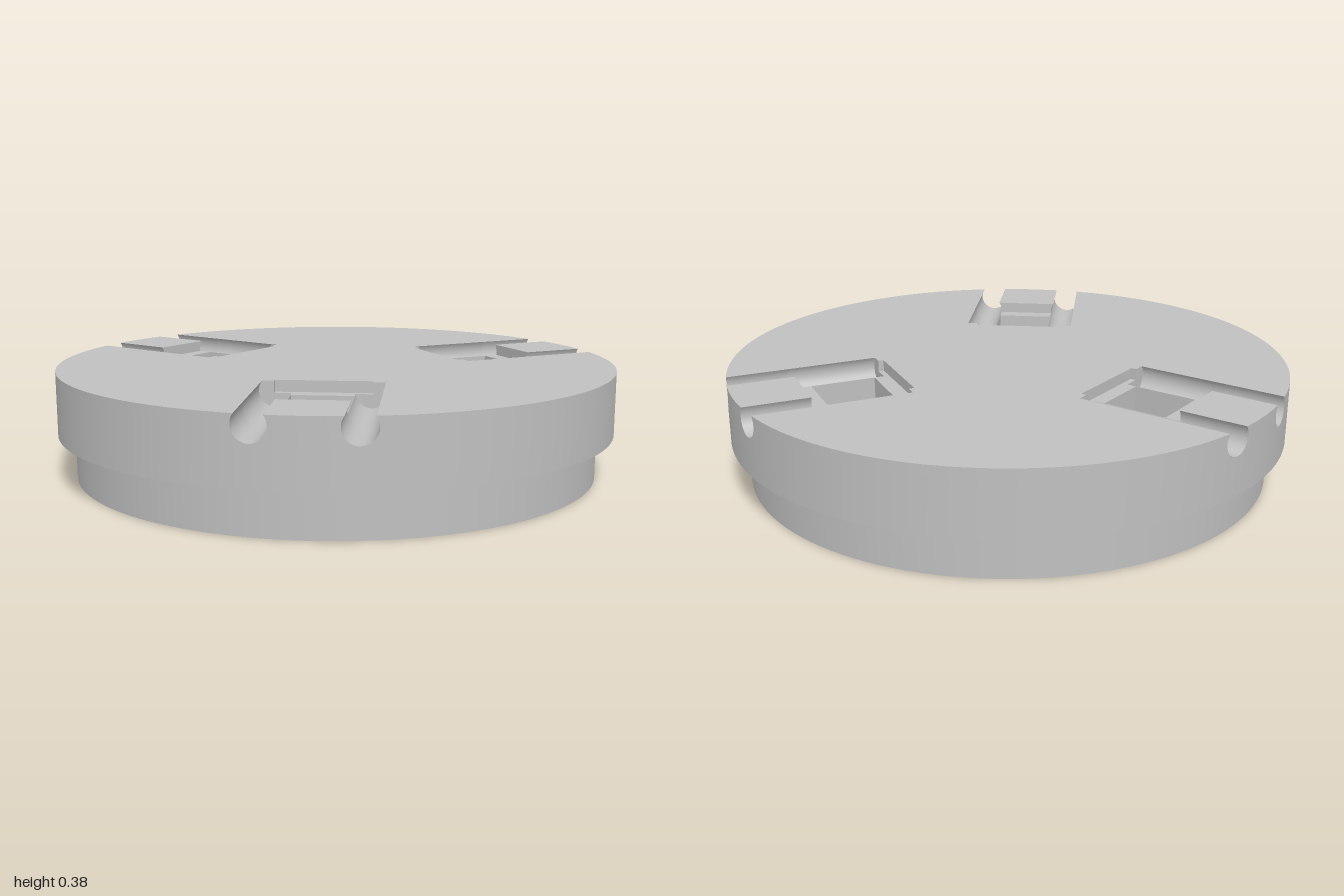
import * as THREE from 'three';

const TOP = 0.385, STEP = 0.16, LOWER_R = 0.94;         // disc heights and radii
const GX = 0.16, GY = 0.353, GR = 0.055;                // groove axis and radius
const SHELF = 0.345, POCKET = 0.25;                     // recess floors
const LIP = Math.asin((TOP - GY) / GR);                 // groove angle at the top face
const SHELF_A = Math.asin((GY - SHELF) / GR);           // groove angle at the shelf
const LIP_X = GX + GR * Math.cos(LIP);
const IN_X = GX - GR * Math.cos(SHELF_A);
const D = { end: 0.42, groove: 0.44, p0: 0.475, p1: 0.705, tongue: 0.76 }; // distances from centre
const FLANGE = 0.165, THIRD = Math.PI * 2 / 3;

// Surface between two polylines of equal length
function strip(a, b, flat = false) {
  const n = a.length, index = [];
  for (let i = 0; i < n - 1; i++) index.push(i, i + 1, n + i + 1, i, n + i + 1, n + i);
  let g = new THREE.BufferGeometry().setFromPoints([...a, ...b]);
  g.setIndex(index);
  if (flat) g = g.toNonIndexed();
  g.computeVertexNormals();
  return g;
}
const shape = pts => new THREE.Shape(pts.map(p => new THREE.Vector2(p[0], p[1])));
// Horizontal face from (x, distance) points; distance runs toward the back
const level = (s, y) => new THREE.ShapeGeometry(s, 48).rotateX(-Math.PI / 2).translate(0, y, 0);
const rail = (pts, y) => pts.map(([x, d]) => new THREE.Vector3(x, y, -d));
const arc = (from, to, n = 24) => Array.from({ length: n + 1 }, (_, i) => {
  const t = from + (to - from) * i / n;
  return [GX + GR * Math.cos(t), GY + GR * Math.sin(t)];
});
const rimAngles = (from, to, n) => Array.from({ length: n + 1 }, (_, i) => from + (to - from) * i / n);
const onRim = (t, y) => new THREE.Vector3(Math.sin(t), y, -Math.cos(t));

export function createModel() {
  const grey = new THREE.MeshStandardMaterial({ color: 0xc0c0c0, side: THREE.DoubleSide });
  grey.name = 'grey metal';
  const model = new THREE.Group();
  model.name = 'slottedDisc';
  const add = (parent, name, g) => {
    const m = new THREE.Mesh(g, grey);
    m.name = name;
    parent.add(m);
    return m;
  };

  // Top face outlined by the rim and three notches
  const lipT = Math.asin(LIP_X);
  const outline = [];
  for (let k = 0; k < 3; k++) {
    const c = Math.cos(k * THIRD), s = Math.sin(k * THIRD);
    const rimD = Math.cos(lipT);
    const notch = [[-LIP_X, rimD], [-LIP_X, D.groove], [-FLANGE, D.groove], [-FLANGE, D.end],
      [FLANGE, D.end], [FLANGE, D.groove], [LIP_X, D.groove]];
    for (const [x, d] of notch) outline.push([x * c + d * s, d * c - x * s]);
    for (const t of rimAngles(lipT, THIRD - lipT, 48).slice(0, -1)) {
      outline.push([Math.sin(t + k * THIRD), Math.cos(t + k * THIRD)]);
    }
  }
  add(model, 'topFace', level(shape(outline), TOP));

  // One slot with its third of the rim, repeated around the disc
  for (let k = 0; k < 3; k++) {
    const slot = new THREE.Group();
    slot.name = 'slot' + (k + 1);
    slot.rotation.y = k * THIRD;
    model.add(slot);

    // Rim wall, split above and below the groove mouths
    const angles = [...rimAngles(-lipT, lipT, 20), ...rimAngles(lipT, THIRD - lipT, 48)];
    for (const s of [-1, 1]) for (const [x] of arc(0, -Math.PI, 24)) angles.push(Math.asin(s * x));
    angles.push(Math.asin(GX * 2 - LIP_X), -Math.asin(GX * 2 - LIP_X));
    angles.sort((a, b) => a - b);
    // the far end meets the next third at its own first groove edge
    const first = -Math.asin(GX + GR), wall = angles.filter(t => t >= first - 1e-6 && t <= THIRD + first);
    wall.push(THIRD + first);
    const gap = t => {
      const off = Math.abs(Math.abs(Math.sin(t)) - GX);
      return t < 0.5 ? Math.sqrt(Math.max(0, GR * GR - off * off)) : 0;
    };
    add(slot, 'rimWall', strip(wall.map(t => onRim(t, GY - gap(t))), wall.map(t => onRim(t, STEP))));
    add(slot, 'rimLip', strip(wall.map(t => onRim(t, TOP)),
      wall.map(t => onRim(t, Math.min(TOP, GY + gap(t))))));

    // Round grooves on both sides
    for (const s of [-1, 1]) {
      const run = (pts, d0, d1) => {
        const near = pts.map(([x, y]) => new THREE.Vector3(s * x, y, -d0));
        const far = pts.map(([x, y]) => new THREE.Vector3(s * x, y, -(d1 ?? Math.sqrt(1 - x * x))));
        return s > 0 ? strip(far, near) : strip(near, far);
      };
      const shelfArc = arc(LIP, SHELF_A - Math.PI);
      add(slot, 'grooveInner', run(shelfArc, D.groove, D.tongue));
      add(slot, 'grooveOuter', run(arc(LIP, -Math.PI - LIP), D.tongue));
      const cap = [...shelfArc, [FLANGE, SHELF], [FLANGE, TOP]].map(([x, y]) => [s * x, y]);
      add(slot, 'grooveEnd', new THREE.ShapeGeometry(shape(cap)).rotateY(Math.PI).translate(0, 0, -D.groove));
    }

    // Tongue between the grooves
    const tx = GX * 2 - LIP_X, tt = Math.asin(tx);
    const rim = rimAngles(tt, -tt, 12).map(t => [Math.sin(t), Math.cos(t)]);
    add(slot, 'tongueTop', level(shape([[-tx, D.tongue], [tx, D.tongue], ...rim]), TOP));
    const side = arc(SHELF_A - Math.PI, -Math.PI - LIP, 8);
    const face = [...side, ...side.map(([x, y]) => [-x, y]).reverse()];
    add(slot, 'tongueFace', new THREE.ShapeGeometry(shape(face)).translate(0, 0, -D.tongue));

    // Shelf with pocket opening
    const shelf = shape([[-FLANGE, D.end], [FLANGE, D.end], [FLANGE, D.groove], [IN_X, D.groove],
      [IN_X, D.tongue], [-IN_X, D.tongue], [-IN_X, D.groove], [-FLANGE, D.groove]]);
    const px = IN_X - 0.001;
    const pocket = [[-px, D.p0], [px, D.p0], [px, D.p1], [-px, D.p1]];
    shelf.holes.push(shape(pocket));
    add(slot, 'shelf', level(shelf, SHELF));
    const lip = [[-FLANGE, D.groove], [-FLANGE, D.end], [FLANGE, D.end], [FLANGE, D.groove]];
    add(slot, 'shelfWall', strip(rail(lip, TOP), rail(lip, SHELF), true));

    // Deep pocket
    const ring = [...pocket, pocket[0]];
    add(slot, 'pocketWalls', strip(rail(ring, SHELF), rail(ring, POCKET), true));
    add(slot, 'pocketFloor', level(shape(pocket), POCKET));
  }

  // Narrower base and the step above it
  add(model, 'baseWall', new THREE.CylinderGeometry(LOWER_R, LOWER_R, STEP, 128, 1, true)).position.y = STEP / 2;
  add(model, 'stepFace', new THREE.RingGeometry(LOWER_R, 1, 128).rotateX(Math.PI / 2)).position.y = STEP;

  // Underside with three blind holes
  const under = new THREE.Shape().absarc(0, 0, LOWER_R, 0, Math.PI * 2);
  const HOLE_R = 0.047, DEPTH = 0.12;
  for (let k = 0; k < 3; k++) {
    const a = Math.PI / 2 + k * THIRD, x = 0.807 * Math.cos(a), z = 0.807 * Math.sin(a);
    under.holes.push(new THREE.Path().absarc(x, z, HOLE_R, 0, Math.PI * 2, true));
    add(model, 'holeWall', new THREE.CylinderGeometry(HOLE_R, HOLE_R, DEPTH, 32, 1, true))
      .position.set(x, DEPTH / 2, z);
    add(model, 'holeEnd', new THREE.CircleGeometry(HOLE_R, 32).rotateX(Math.PI / 2)).position.set(x, DEPTH, z);
  }
  add(model, 'underside', new THREE.ShapeGeometry(under, 64).rotateX(Math.PI / 2));
  return model;
}
